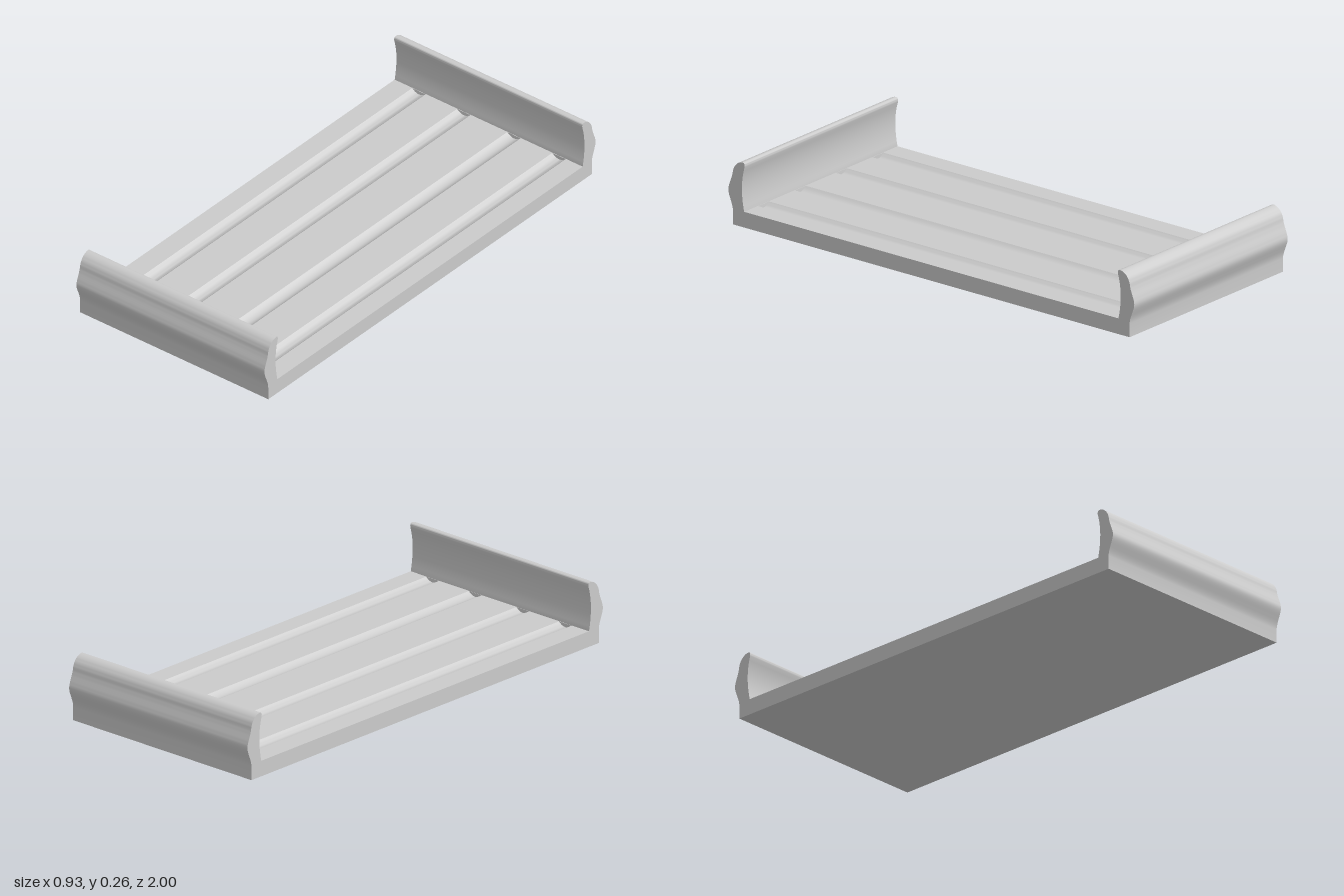
import * as THREE from 'three';
import { toCreasedNormals } from 'three/addons/utils/BufferGeometryUtils.js';

const HALF_WIDTH = 0.463;
const FLOOR_TOP = 0.064;
const INNER_Z = 0.92;

// Extrude a shape, centred along its depth, smooth on curves and sharp at corners
function extrude(shape, depth) {
  const geometry = new THREE.ExtrudeGeometry(shape, { depth, bevelEnabled: false, curveSegments: 10 });
  geometry.translate(0, 0, -depth / 2);
  return toCreasedNormals(geometry, 0.5);
}

// Floor cross-section with shallow rounded grooves in its top
function floorShape() {
  const s = new THREE.Shape();
  s.moveTo(-HALF_WIDTH, FLOOR_TOP);
  s.lineTo(-HALF_WIDTH, 0);
  s.lineTo(HALF_WIDTH, 0);
  s.lineTo(HALF_WIDTH, FLOOR_TOP);
  for (const x of [0.348, 0.126, -0.121, -0.342]) {
    s.lineTo(x + 0.033, FLOOR_TOP);
    s.quadraticCurveTo(x, FLOOR_TOP - 0.03, x - 0.033, FLOOR_TOP);
  }
  s.closePath();
  return s;
}

// Bowed end wall profile: shape x is depth (z), shape y is height
function wallShape() {
  const s = new THREE.Shape();
  s.moveTo(INNER_Z, 0);
  s.lineTo(0.977, 0);
  s.lineTo(0.977, 0.055);
  s.bezierCurveTo(0.978, 0.085, 1.0, 0.115, 1.0, 0.138);
  s.bezierCurveTo(1.0, 0.16, 0.98, 0.19, 0.978, 0.215);
  s.bezierCurveTo(0.974, 0.24, 0.952, 0.264, 0.928, 0.263);
  s.quadraticCurveTo(0.917, 0.262, 0.92, 0.245);
  s.bezierCurveTo(0.937, 0.19, 0.937, 0.13, 0.922, FLOOR_TOP);
  s.lineTo(INNER_Z, FLOOR_TOP);
  s.closePath();
  return s;
}

export function createModel() {
  const tray = new THREE.Group();
  tray.name = 'tray';
  const material = new THREE.MeshStandardMaterial({ color: 0xcccccc });

  const floor = new THREE.Mesh(extrude(floorShape(), 2 * INNER_Z), material);
  floor.name = 'groovedFloor';
  tray.add(floor);

  // Matching end walls, the back one turned around
  const wallGeometry = extrude(wallShape(), 2 * HALF_WIDTH).rotateY(-Math.PI / 2);
  for (const [name, turn] of [['frontWall', 0], ['backWall', Math.PI]]) {
    const wall = new THREE.Mesh(wallGeometry, material);
    wall.name = name;
    wall.rotation.y = turn;
    tray.add(wall);
  }
  return tray;
}
